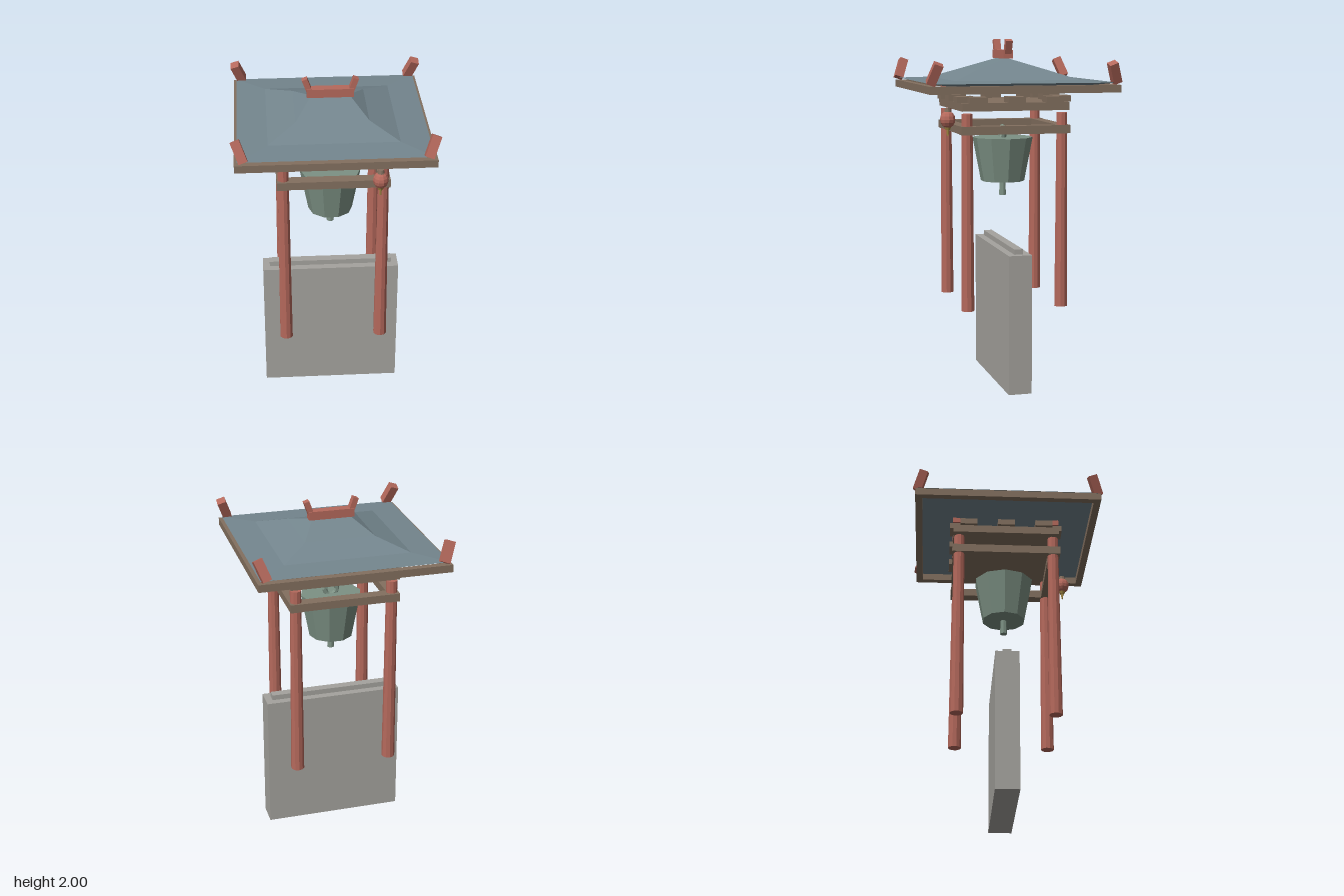
import * as THREE from 'three';

const mat = (color) => new THREE.MeshStandardMaterial({ color, flatShading: true });
const red = mat(0xb5695c), wood = mat(0x83705f), slate = mat(0x74868e);
const bronze = mat(0x7d9184), stone = mat(0xa5a39e), gold = mat(0xa58a45);

function add(parent, name, geometry, material, x, y, z) {
  const mesh = new THREE.Mesh(geometry, material);
  mesh.name = name;
  mesh.position.set(x, y, z);
  parent.add(mesh);
  return mesh;
}
const box = (p, name, m, w, h, d, x, y, z) => add(p, name, new THREE.BoxGeometry(w, h, d), m, x, y, z);
const cyl = (p, name, m, rTop, rBottom, h, n, x, y, z) =>
  add(p, name, new THREE.CylinderGeometry(rTop, rBottom, h, n), m, x, y, z);

// Hipped shell lofted through rectangles [halfX, halfZ, y], bottom to top
function hippedGeometry(levels) {
  const corners = [[1, 1], [1, -1], [-1, -1], [-1, 1]];
  const pos = [];
  const point = ([hx, hz, y], k) => [corners[k % 4][0] * hx, y, corners[k % 4][1] * hz];
  for (let i = 0; i < levels.length - 1; i++) {
    for (let k = 0; k < 4; k++) {
      const a = point(levels[i], k), b = point(levels[i], k + 1);
      const c = point(levels[i + 1], k + 1), d = point(levels[i + 1], k);
      pos.push(...a, ...b, ...c, ...a, ...c, ...d);
    }
  }
  const g = new THREE.BufferGeometry();
  g.setAttribute('position', new THREE.Float32BufferAttribute(pos, 3));
  g.computeVertexNormals();
  return g;
}

export function createModel() {
  const model = new THREE.Group();
  model.name = 'bellPavilion';

  // Stone wall with a narrow coping
  box(model, 'wall', stone, 0.8, 0.8, 0.135, 0, 0.4, 0);
  box(model, 'wallCoping', stone, 0.72, 0.03, 0.05, 0, 0.815, 0);

  // Four tapered posts
  for (const sx of [-1, 1]) for (const sz of [-1, 1])
    cyl(model, 'post', red, 0.031, 0.038, 1.115, 10, sx * 0.275, 1.0325, sz * 0.275);

  // Tie beams, upper plate and bracket blocks
  for (const s of [-1, 1]) {
    box(model, 'frontTieBeam', wood, 0.62, 0.045, 0.065, 0, 1.4975, s * 0.28);
    box(model, 'sideTieBeam', wood, 0.065, 0.047, 0.63, s * 0.28, 1.4975, 0);
    for (const t of [-0.22, 0, 0.22]) {
      box(model, 'frontBracket', wood, 0.1, 0.035, 0.1, t, 1.6675, s * 0.28);
      box(model, 'sideBracket', wood, 0.1, 0.034, 0.1, s * 0.28, 1.667, t);
      box(model, 'bracketCap', red, 0.065, 0.035, 0.065, t, 1.72, s * 0.28);
    }
  }
  box(model, 'upperPlate', wood, 0.62, 0.045, 0.62, 0, 1.6275, 0);

  // Eave frame
  for (const s of [-1, 1]) {
    box(model, 'frontEave', wood, 1.07, 0.042, 0.04, 0, 1.732, s * 0.515);
    box(model, 'sideEave', wood, 0.04, 0.042, 0.99, s * 0.515, 1.732, 0);
  }

  // Flared roof with a shallow inverted underside
  add(model, 'roof', hippedGeometry([
    [0, 0, 1.69], [0.52, 0.52, 1.765], [0.355, 0.355, 1.775], [0.2, 0.2, 1.83], [0.105, 0, 1.893],
  ]), slate, 0, 0, 0);

  // Ridge with raised ends
  box(model, 'ridge', red, 0.26, 0.048, 0.055, 0, 1.914, 0);
  for (const s of [-1, 1])
    box(model, 'ridgeEnd', red, 0.031, 0.08, 0.04, s * 0.128, 1.957, 0).rotation.z = -s * 0.35;

  // Tilted corner ornaments
  for (const sx of [-1, 1]) for (const sz of [-1, 1]) {
    const horn = box(model, 'cornerOrnament', red, 0.05, 0.12, 0.05, sx * 0.507, 1.82, sz * 0.505);
    horn.rotation.set(-sz * 0.35, 0, -sx * 0.35);
  }

  // Bell, crown loop and clapper
  const bell = new THREE.Group();
  bell.name = 'bell';
  model.add(bell);
  cyl(bell, 'bellBody', bronze, 0.176, 0.127, 0.255, 10, 0, 1.3075, 0).rotation.y = Math.PI / 2;
  add(bell, 'crownLoop', new THREE.TorusGeometry(0.036, 0.015, 6, 10), bronze, 0, 1.46, 0);
  cyl(bell, 'clapper', bronze, 0.016, 0.021, 0.12, 8, 0, 1.155, 0);

  // Small hanging lantern
  const lantern = new THREE.Group();
  lantern.name = 'lantern';
  lantern.position.set(0.25, 1.56, 0.38);
  model.add(lantern);
  add(lantern, 'lanternBody', new THREE.SphereGeometry(0.043, 10, 8), red, 0, 0, 0).scale.y = 1.12;
  cyl(lantern, 'lanternCap', wood, 0.016, 0.02, 0.022, 8, 0, 0.052, 0);
  cyl(lantern, 'lanternBase', gold, 0.02, 0.014, 0.016, 8, 0, -0.049, 0);
  cyl(lantern, 'tassel', gold, 0.008, 0.005, 0.038, 6, 0, -0.073, 0);

  return model;
}
